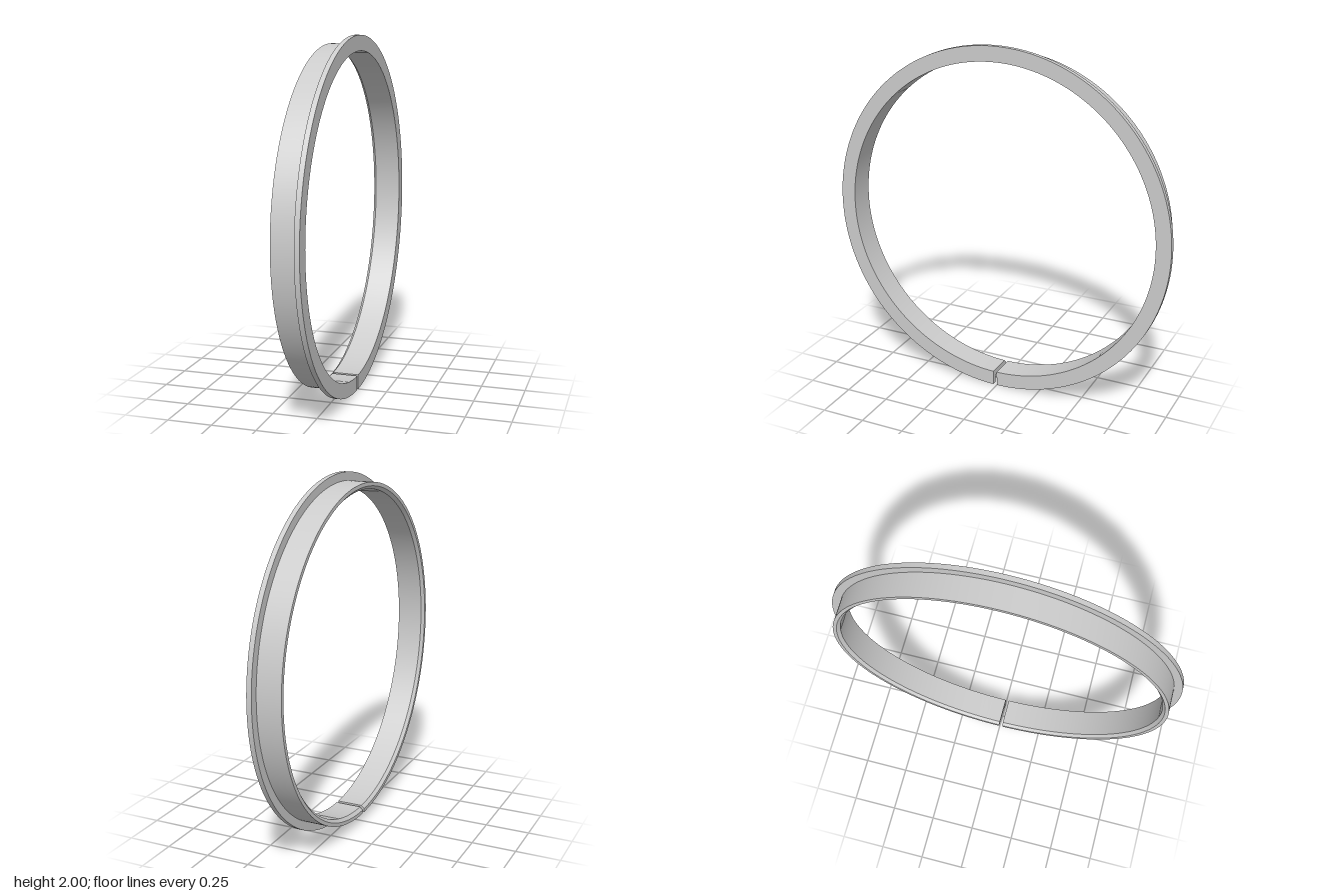
import * as THREE from 'three';
import { toCreasedNormals } from 'three/addons/utils/BufferGeometryUtils.js';

export function createModel() {
  const group = new THREE.Group();
  group.name = 'splitRing';
  const material = new THREE.MeshStandardMaterial({ color: 0xcccccc });
  const capMaterial = new THREE.MeshStandardMaterial({ color: 0xcccccc, side: THREE.DoubleSide });

  const inner = 0.915, outer = 0.953, rim = 1;
  const end = 0.083, step = 0.055, chamfer = 0.017;
  const gap = 0.022; // slot angle at the bottom

  // L-shaped section (radius, axial position), with a chamfered inner edge
  const section = [
    [inner + chamfer, -end], [outer, -end], [outer, step], [rim, step],
    [rim, end], [inner, end], [inner, -end + chamfer],
  ].map(([r, a]) => new THREE.Vector2(r, a));

  // Turn the lathe axis onto x and stand the ring on the ground
  const place = (geometry) => geometry.rotateZ(-Math.PI / 2).translate(0, 1, 0);

  // Flanged ring, open at the slot
  const start = Math.PI / 2;
  const sweep = Math.PI * 2 - gap;
  const lathe = new THREE.LatheGeometry([...section, section[0].clone()], 200, start, sweep);
  const ring = new THREE.Mesh(toCreasedNormals(place(lathe), Math.PI / 6), material);
  ring.name = 'flangedRing';
  group.add(ring);

  // Flat walls on both sides of the slot
  [start, start + sweep].forEach((angle, i) => {
    const wall = new THREE.ShapeGeometry(new THREE.Shape(section)).rotateY(angle - Math.PI / 2);
    const mesh = new THREE.Mesh(place(wall), capMaterial);
    mesh.name = i ? 'slotWallFront' : 'slotWallBack';
    group.add(mesh);
  });

  return group;
}
